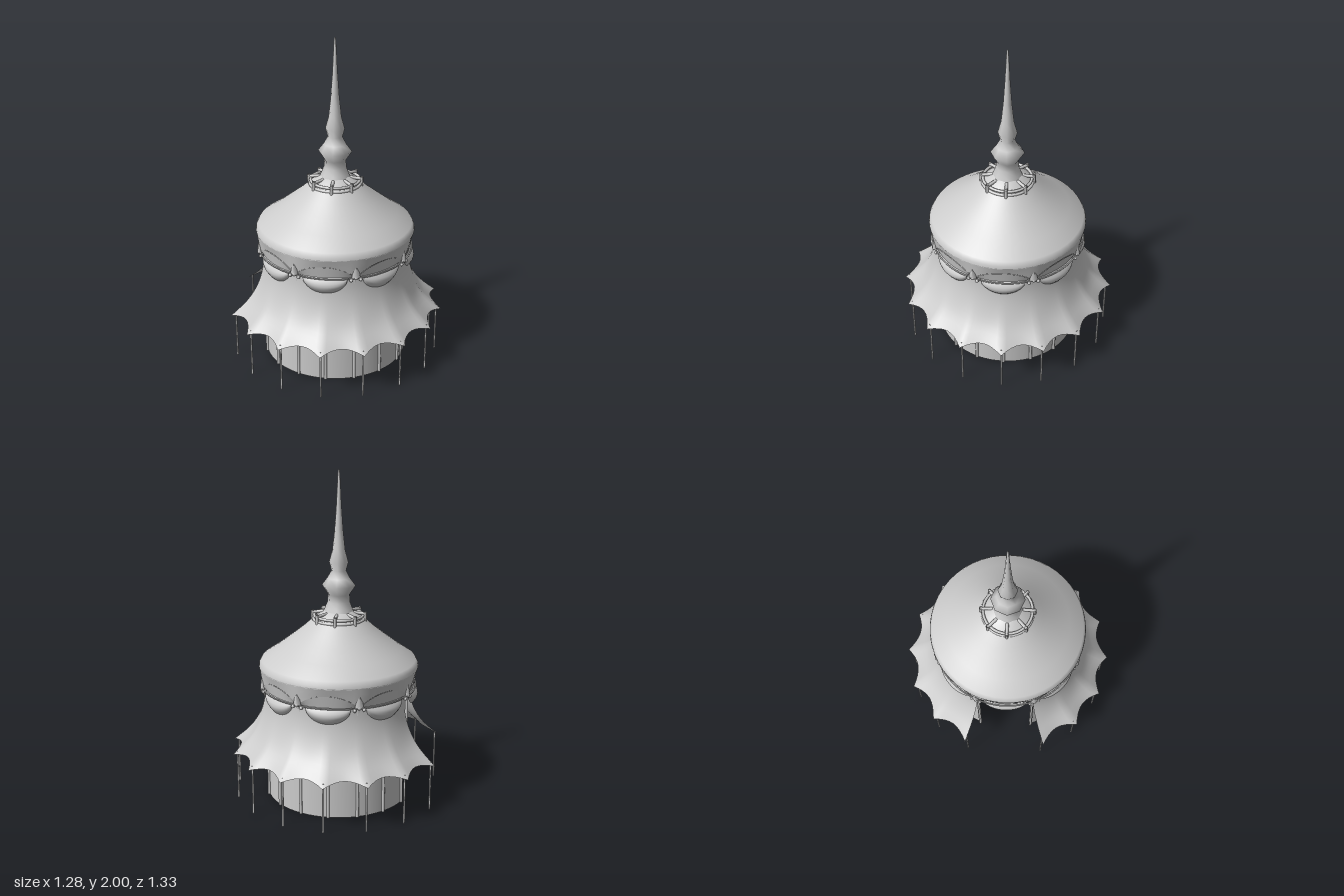
import * as THREE from 'three';

const STEP = Math.PI / 8;          // one of 16 sectors
const GAP = 7 * STEP;              // cloth runs from -GAP to GAP, open towards -x
const mat = new THREE.MeshStandardMaterial({ color: 0xcccccc, side: THREE.DoubleSide });

// Cylindrical coordinates to a point
const polar = (a, r, y) => new THREE.Vector3(r * Math.cos(a), y, r * Math.sin(a));

// Grid surface; f(u, v) returns a point, u and v run 0..1
function surface(nu, nv, f) {
  const pos = [], idx = [];
  for (let j = 0; j <= nv; j++)
    for (let i = 0; i <= nu; i++) pos.push(...f(i / nu, j / nv).toArray());
  for (let j = 0; j < nv; j++)
    for (let i = 0; i < nu; i++) {
      const a = j * (nu + 1) + i, c = a + nu + 1;
      idx.push(a, a + 1, c, a + 1, c + 1, c);
    }
  const g = new THREE.BufferGeometry();
  g.setAttribute('position', new THREE.Float32BufferAttribute(pos, 3));
  g.setIndex(idx);
  g.computeVertexNormals();
  return g;
}

const lathe = (pts, seg) =>
  new THREE.LatheGeometry(pts.map(p => new THREE.Vector2(p[0], p[1])), seg);

export function createModel() {
  const model = new THREE.Group();
  model.name = 'pavilionTent';
  const tent = new THREE.Group();
  tent.name = 'tent';
  tent.position.x = -0.02;
  model.add(tent);
  const add = (name, geo, parent = tent) => {
    const m = new THREE.Mesh(geo, mat);
    m.name = name;
    parent.add(m);
    return m;
  };
  const rod = (name, from, to, r, sides = 6, parent = tent) =>
    add(name, new THREE.TubeGeometry(new THREE.LineCurve3(from, to), 1, r, sides), parent);

  // Round wall with a doorway, and its posts
  add('wall', surface(56, 1, (u, v) => polar((2 * u - 1) * GAP, 0.44, 0.72 * (1 - v))));
  for (let k = -7; k <= 7; k++) {
    rod('wallPost', polar(k * STEP, 0.443, 0), polar(k * STEP, 0.443, 0.7), 0.01);
    rod('awningPole', polar(k * STEP, 0.635, 0), polar(k * STEP, 0.635, 0.308), 0.006);
  }

  // Flared awning with a scalloped rim that points at every pole
  const flare = new THREE.CatmullRomCurve3([[0.45, 0.74], [0.455, 0.61], [0.482, 0.5],
    [0.53, 0.4], [0.605, 0.31]].map(p => new THREE.Vector3(p[0], p[1], 0)));
  add('awning', surface(14 * 8, 14, (u, v) => {
    const s = u * 14, w = 2 * (s - Math.floor(s)) - 1;
    const p = flare.getPoint(v), k = w * w * v ** 4;
    return polar((2 * u - 1) * GAP, p.x + 0.06 * k, p.y - 0.025 * k);
  }));

  // Roof cone with a rounded shoulder
  add('roof', lathe([[0.485, 0.815], [0.482, 0.835], [0.468, 0.86], [0.38, 0.92],
    [0.29, 0.99], [0.215, 1.05], [0.16, 1.1], [0.11, 1.14], [0.07, 1.16]], 48));

  // Valance: lower edge arches up between the eight pennants
  const archY = w => 0.70 + 0.07 * (1 - Math.abs(w) ** 2.2);
  add('valance', surface(96, 3, (u, v) => {
    const s = u * 8, w = 2 * (s - Math.floor(s)) - 1;
    return polar((2 * u - 1) * Math.PI + STEP, 0.485 - 0.015 * v,
      THREE.MathUtils.lerp(0.82, archY(w), v));
  }));
  add('drumWall', lathe([[0.45, 0.69], [0.45, 0.82]], 48));

  // Swags, cords, pennants and knots, one set per eighth
  for (let k = 0; k < 8; k++) {
    const g = new THREE.Group();
    g.name = 'swagBay';
    g.rotation.y = k * Math.PI / 4;
    tent.add(g);
    add('recess', surface(14, 2, (u, v) => {
      const w = 2 * u - 1;
      return polar(w * STEP, 0.472 - 0.014 * v, THREE.MathUtils.lerp(archY(w), 0.695, v));
    }), g);
    add('swag', surface(16, 6, (u, v) => {
      const w = 2 * u - 1, hang = Math.sqrt(Math.max(0, 1 - w * w));
      return polar(w * 0.31, 0.456 + 0.03 * Math.sin(Math.PI * v) * hang,
        0.7 - 0.105 * v * hang);
    }), g);
    const cord = [-1, -0.5, 0, 0.5, 1].map(w => polar(w * STEP, 0.472, 0.695));
    add('cord', new THREE.TubeGeometry(new THREE.CatmullRomCurve3(cord), 12, 0.005, 5), g);
    const pennant = add('pennant', new THREE.ConeGeometry(0.027, 0.12, 4), g);
    pennant.position.copy(polar(STEP, 0.472, 0.76));
    pennant.rotation.y = -STEP;
    pennant.scale.x = 0.6;
    for (const [da, y, r] of [[0, 0.7, 0.014], [-0.06, 0.685, 0.011], [0.06, 0.685, 0.011]])
      add('knot', new THREE.SphereGeometry(r, 8, 6), g).position.copy(polar(STEP + da, 0.474, y));
  }

  // Collar: two hoops tied by eight bent spokes
  for (const [r, y] of [[0.153, 1.105], [0.148, 1.127]]) {
    const hoop = add('collarHoop', new THREE.TorusGeometry(r, 0.009, 8, 32));
    hoop.rotation.x = Math.PI / 2;
    hoop.position.y = y;
  }
  for (let k = 0; k < 8; k++) {
    const a = k * Math.PI / 4;
    rod('collarSpoke', polar(a, 0.09, 1.145), polar(a, 0.165, 1.138), 0.01, 8);
    rod('collarPeg', polar(a, 0.16, 1.085), polar(a, 0.16, 1.15), 0.01, 8);
  }

  // Turned finial ending in a long spike
  add('finial', lathe([[0.1, 1.13], [0.083, 1.17], [0.068, 1.21], [0.066, 1.255], [0.102, 1.31],
    [0.068, 1.355], [0.044, 1.4], [0.058, 1.45], [0.038, 1.525], [0.025, 1.65],
    [0.015, 1.8], [0.006, 1.99], [0, 2]], 8));

  return model;
}
